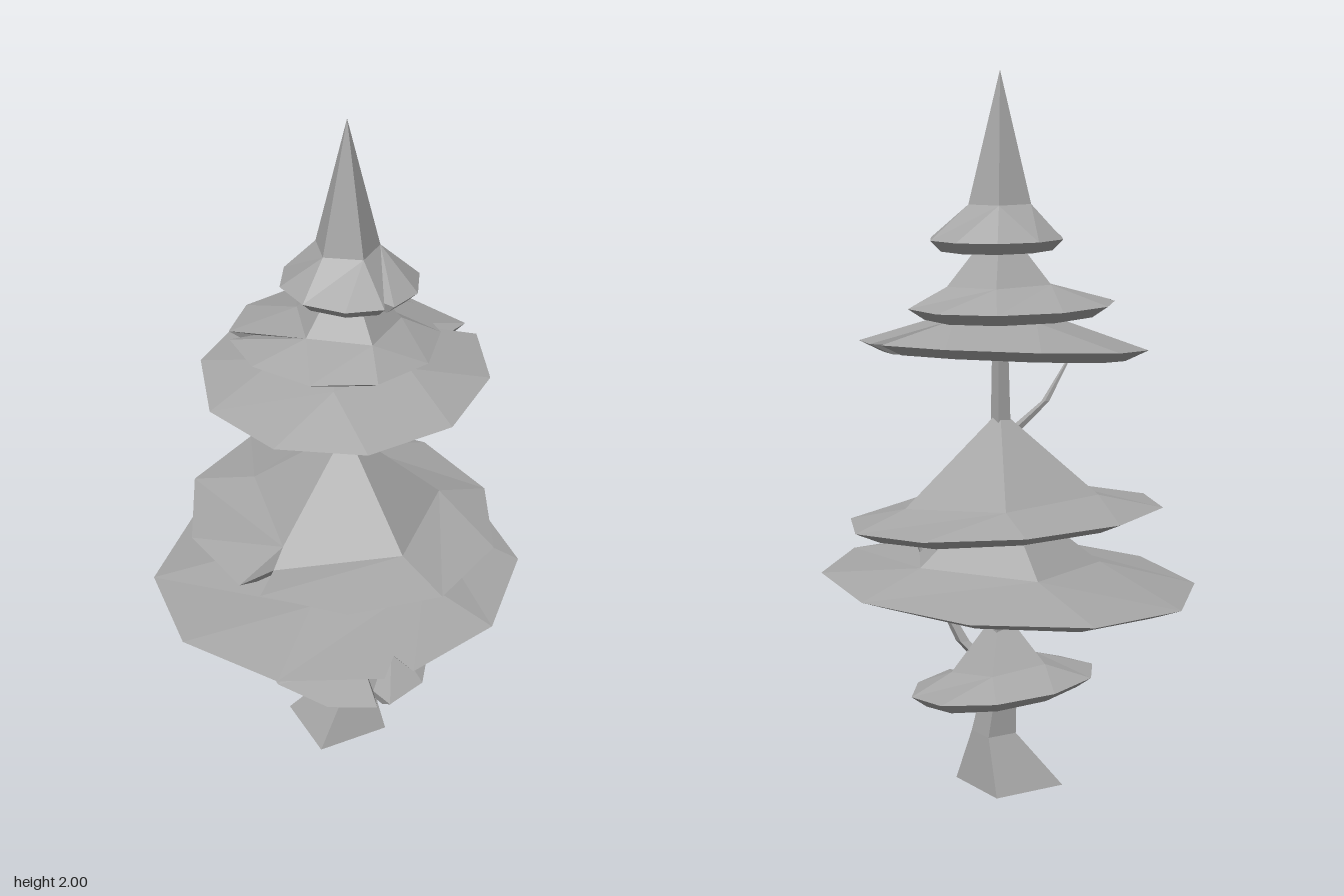
import * as THREE from 'three';

const material = new THREE.MeshStandardMaterial({ color: 0xa6a6a6, flatShading: true, side: THREE.DoubleSide });
const rad = THREE.MathUtils.degToRad;
const axis = { x: 0.025, z: -0.015 };

// Mesh from a list of triangles, each an array of three [x, y, z] corners
function facets(name, triangles) {
  const geometry = new THREE.BufferGeometry();
  geometry.setAttribute('position', new THREE.Float32BufferAttribute(triangles.flat(2), 3));
  geometry.computeVertexNormals();
  const mesh = new THREE.Mesh(geometry, material);
  mesh.name = name;
  return mesh;
}

// Foliage tiers, bottom to top. Rim: centre x, z, height y, radius r, slope along x and z,
// angle of its first corner and which corner is slit. Ring: five-sided shoulder below the apex.
const tiers = [
  { apexY: 0.51, rim: { x: 0.02, z: -0.005, y: 0.295, r: 0.265, slope: [-0.13, 0], start: 9, slit: 1 },
    ring: { y: 0.345, r: 0.14, start: 50 } },
  { apexY: 0.86, rim: { x: 0, z: 0, y: 0.59, r: 0.53, slope: [0.06, 0.01], start: 17, slit: 1 },
    ring: { y: 0.65, r: 0.28, start: 20 } },
  { apexY: 1.07, rim: { x: 0.012, z: -0.02, y: 0.78, r: 0.445, slope: [-0.07, -0.01], start: 34, slit: 2 },
    ring: { y: 0.825, r: 0.28, start: 38 } },
  { apexY: 1.49, rim: { x: 0.012, z: -0.035, y: 1.25, r: 0.4, slope: [0.02, -0.06], start: -9, slit: 9 },
    ring: { y: 1.32, r: 0.19, start: 10 } },
  { apexY: 1.6, rim: { x: -0.01, z: -0.027, y: 1.365, r: 0.287, slope: [-0.02, 0.03], start: 13, slit: 4 },
    ring: { y: 1.42, r: 0.15, start: 45 } },
  { apexY: 2, rim: { x: 0.036, z: -0.012, y: 1.545, r: 0.19, slope: [0, 0.04], start: 4, slit: 1 },
    ring: { y: 1.64, r: 0.09, start: 43 } },
];

function foliageTier(name, { apexY, rim, ring }) {
  const angle = (p) => Math.atan2(p[2] - axis.z, p[0] - axis.x);
  const point = (centre, y, r, degrees) => {
    const x = centre.x + r * Math.cos(rad(degrees)), z = centre.z + r * Math.sin(rad(degrees));
    return [x, y + rim.slope[0] * x + rim.slope[1] * z, z];
  };
  const sorted = (points) => points.sort((a, b) => angle(a) - angle(b));

  const apex = [axis.x, apexY, axis.z];
  const shoulder = sorted(Array.from({ length: 5 }, (_, i) => point(axis, ring.y, ring.r, ring.start + 72 * i)));
  // Ten rim corners; the slit corner becomes two lips with a cut between
  const edge = sorted(Array.from({ length: 10 }, (_, i) => {
    const a = rim.start + 36 * i;
    const corners = i === rim.slit ? [[-4.5, 1], [0, 0.75], [4.5, 1]] : [[0, 1]];
    return corners.map(([turn, scale]) => point(rim, rim.y, rim.r * scale, a + turn));
  }).flat());
  // Underside tucks in below a sharp rim
  const hem = edge.map(([x, y, z]) => [rim.x + (x - rim.x) * 0.84, y - 0.03, rim.z + (z - rim.z) * 0.84]);
  const under = point(axis, rim.y - 0.03, 0, 0);

  const tris = [];
  const n = shoulder.length, m = edge.length;
  // Peak
  shoulder.forEach((p, i) => tris.push([apex, shoulder[(i + 1) % n], p]));
  // Skirt from shoulder to rim, stitched in order of angle
  const turn = (list, k) => angle(list[k % list.length]) + (k >= list.length ? 2 * Math.PI : 0);
  for (let i = 0, j = 0; i < n || j < m;) {
    const a = shoulder[i % n], b = edge[j % m];
    if (j >= m || (i < n && turn(shoulder, i + 1) < turn(edge, j + 1))) tris.push([a, shoulder[++i % n], b]);
    else tris.push([a, edge[++j % m], b]);
  }
  // Rim edge and underside
  edge.forEach((p, i) => {
    const k = (i + 1) % m;
    tris.push([p, edge[k], hem[k]], [p, hem[k], hem[i]], [under, hem[i], hem[k]]);
  });
  return facets(name, tris);
}

// Tapered four-sided limb through sections [x, y, z, radius], closed at both ends
function limb(name, sections) {
  const sides = 4;
  const loops = sections.map(([x, y, z, r]) => Array.from({ length: sides }, (_, i) => {
    const a = rad((360 * i) / sides);
    return [x + r * Math.cos(a), y, z + r * Math.sin(a)];
  }));
  const tris = [];
  const last = loops.length - 1;
  for (let i = 0; i < sides; i++) {
    const k = (i + 1) % sides;
    for (let s = 0; s < last; s++) {
      const lo = loops[s], hi = loops[s + 1];
      tris.push([hi[i], hi[k], lo[k]], [hi[i], lo[k], lo[i]]);
    }
    tris.push([sections[0].slice(0, 3), loops[0][i], loops[0][k]]);
    tris.push([sections[last].slice(0, 3), loops[last][k], loops[last][i]]);
  }
  return facets(name, tris);
}

export function createModel() {
  const tree = new THREE.Group();
  tree.name = 'tree';

  // Trunk with flared foot
  tree.add(limb('trunk', [
    [0, 0, -0.015, 0.155], [0.04, 0.15, -0.035, 0.064], [0.028, 0.25, -0.03, 0.053],
    [0.02, 0.55, -0.02, 0.04], [0.025, 1.45, -0.02, 0.018],
  ]));

  // Bare twigs
  tree.add(limb('lowerTwig', [
    [0.05, 0.33, -0.03, 0.022], [0.13, 0.41, -0.035, 0.02], [0.18, 0.5, -0.035, 0.014], [0.27, 0.73, -0.06, 0.003],
  ]));
  tree.add(limb('upperTwig', [
    [0.01, 0.99, -0.02, 0.02], [-0.04, 1.04, 0.015, 0.016], [-0.09, 1.09, 0.05, 0.011], [-0.15, 1.22, 0.13, 0.003],
  ]));

  tiers.forEach((tier, i) => tree.add(foliageTier(`foliageTier${i + 1}`, tier)));
  return tree;
}
